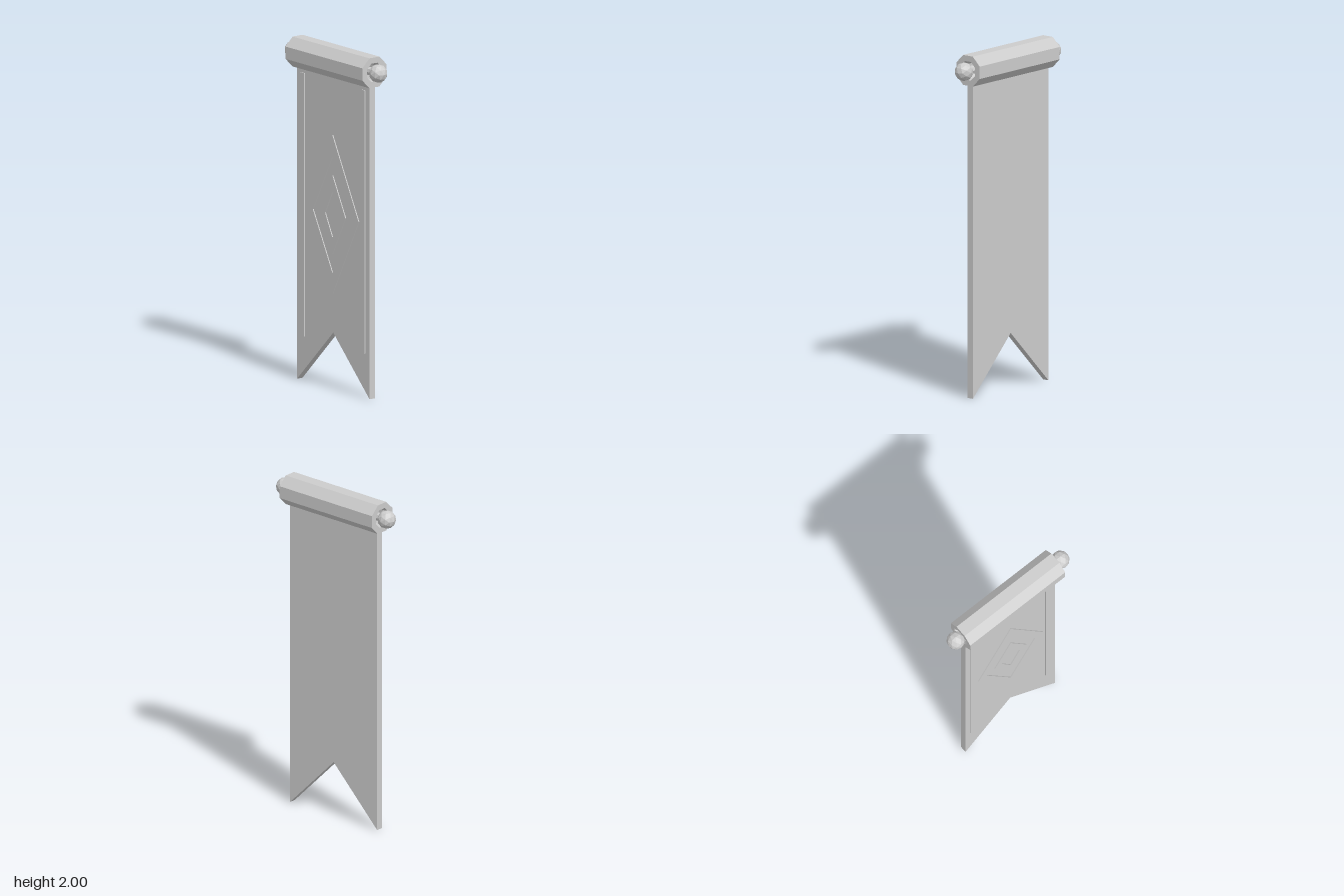
import * as THREE from 'three';

const grey = new THREE.MeshStandardMaterial({ color: 0xcccccc, flatShading: true });
grey.name = 'plain grey';

const ROD_Y = 1.9125;
const CLOTH_FRONT = 0.02;

const outline = (points) => points.map(([x, y]) => new THREE.Vector2(x, y));
const diamond = (w, h) => outline([[w, 0], [0, h], [-w, 0], [0, -h]]);

// Eight-sided outline with flat top and bottom
function octagon(apothem) {
  const r = apothem / Math.cos(Math.PI / 8);
  return Array.from({ length: 8 }, (_, i) => {
    const a = (i + 0.5) * Math.PI / 4;
    return new THREE.Vector2(r * Math.cos(a), r * Math.sin(a));
  });
}

function plate(points, depth, hole) {
  const shape = new THREE.Shape(points);
  if (hole) shape.holes.push(new THREE.Path(hole));
  return new THREE.ExtrudeGeometry(shape, { depth, bevelEnabled: false });
}

export function createModel() {
  const model = new THREE.Group();
  model.name = 'hangingBanner';

  function add(name, geometry, x = 0, y = 0, z = 0) {
    const mesh = new THREE.Mesh(geometry, grey);
    mesh.name = name;
    mesh.position.set(x, y, z);
    model.add(mesh);
    return mesh;
  }

  // Swallow-tailed cloth, its top tucked into the sleeve
  const cloth = outline([[-0.33, 0], [0, 0.33], [0.33, 0], [0.33, 1.84], [-0.33, 1.84]]);
  add('cloth', plate(cloth, 2 * CLOTH_FRONT), 0, 0, -CLOTH_FRONT);

  // Hollow octagonal sleeve across the top
  const sleeve = plate(octagon(0.0875), 0.7, octagon(0.054));
  sleeve.translate(0, 0, -0.35).rotateY(Math.PI / 2);
  add('sleeve', sleeve, 0, ROD_Y);

  // Thin rod hidden in the sleeve, joining the faceted end knobs
  add('rod', new THREE.CylinderGeometry(0.025, 0.025, 0.74, 8).rotateZ(Math.PI / 2), 0, ROD_Y);

  for (const [side, s] of [['left', 1], ['right', -1]]) {
    add(side + 'Knob', new THREE.IcosahedronGeometry(0.054, 1), s * 0.385, ROD_Y);
    // Raised trim along each side of the front
    add(side + 'Trim', new THREE.BoxGeometry(0.036, 1.54, 0.006), s * 0.275, 1.03, CLOTH_FRONT + 0.003);
  }

  // Two nested diamond frames on the front
  add('outerDiamond', plate(diamond(0.238, 0.465), 0.006, diamond(0.178, 0.342)), 0, 1.02, CLOTH_FRONT);
  add('innerDiamond', plate(diamond(0.118, 0.23), 0.006, diamond(0.067, 0.135)), 0, 1.02, CLOTH_FRONT);

  return model;
}
